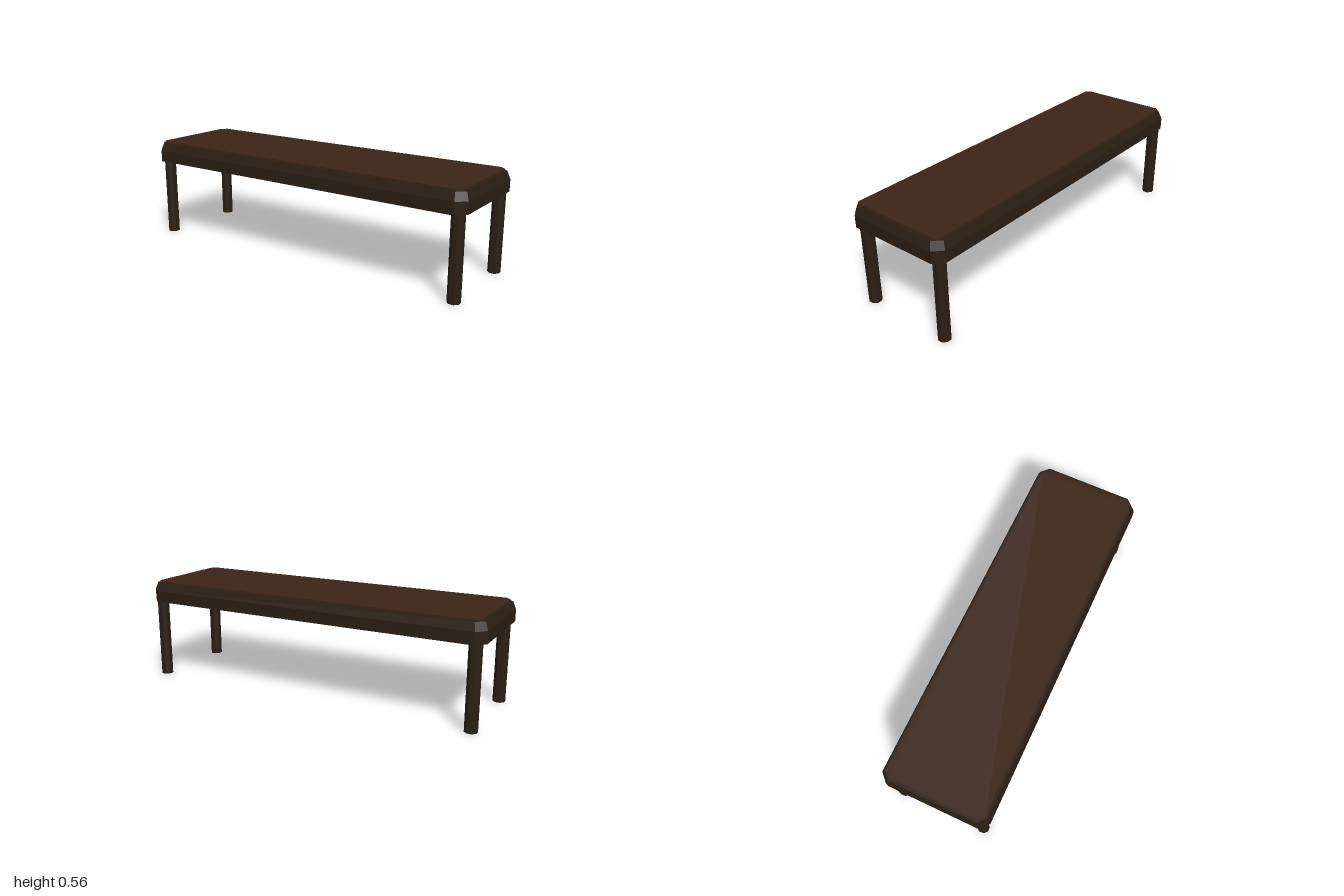
import * as THREE from 'three';

// Chamfered rectangle at height y, counter-clockwise seen from above
function ring(hx, hz, c, y) {
  return [
    [hx, hz - c], [hx, c - hz], [hx - c, -hz], [c - hx, -hz],
    [-hx, c - hz], [-hx, hz - c], [c - hx, hz], [hx - c, hz],
  ].map(([x, z]) => new THREE.Vector3(x, y, z));
}

// Faceted solid through a stack of rings, bottom to top, capped at both ends
function loft(rings) {
  const points = [];
  const n = rings[0].length;
  const bottom = rings[0];
  const top = rings[rings.length - 1];
  for (let r = 0; r < rings.length - 1; r++) {
    for (let i = 0; i < n; i++) {
      const j = (i + 1) % n;
      const a = rings[r][i], b = rings[r][j], c = rings[r + 1][j], d = rings[r + 1][i];
      points.push(a, b, c, a, c, d);
    }
  }
  for (let i = 1; i < n - 1; i++) {
    points.push(top[0], top[i], top[i + 1], bottom[0], bottom[i + 1], bottom[i]);
  }
  const geometry = new THREE.BufferGeometry().setFromPoints(points);
  geometry.computeVertexNormals();
  return geometry;
}

export function createModel() {
  const model = new THREE.Group();
  model.name = 'bench';
  const frameWood = new THREE.MeshStandardMaterial({ color: 0x2a1e13, flatShading: true });
  const seatWood = new THREE.MeshStandardMaterial({ color: 0x3a2416, flatShading: true });

  const add = (name, geometry, material) => {
    const mesh = new THREE.Mesh(geometry, material);
    mesh.name = name;
    model.add(mesh);
    return mesh;
  };

  // Thick body with chamfered corners and a sloped upper edge
  add('body', loft([
    ring(0.297, 1, 0.047, 0.446),
    ring(0.297, 1, 0.047, 0.51),
    ring(0.282, 0.985, 0.041, 0.553),
  ]), frameWood);

  // Thin seat panel on top
  add('seatPanel', loft([
    ring(0.268, 0.971, 0.028, 0.55),
    ring(0.268, 0.971, 0.028, 0.562),
  ]), seatWood);

  // Eight-sided legs, flat sides facing out
  const legGeometry = new THREE.CylinderGeometry(0.0341, 0.0341, 0.448, 8);
  legGeometry.rotateY(Math.PI / 8);
  for (const [side, x] of [['Left', 0.2495], ['Right', -0.2365]]) {
    for (const [end, z] of [['front', 0.948], ['back', -0.947]]) {
      add(`${end}${side}Leg`, legGeometry, frameWood).position.set(x, 0.224, z);
    }
  }
  return model;
}
